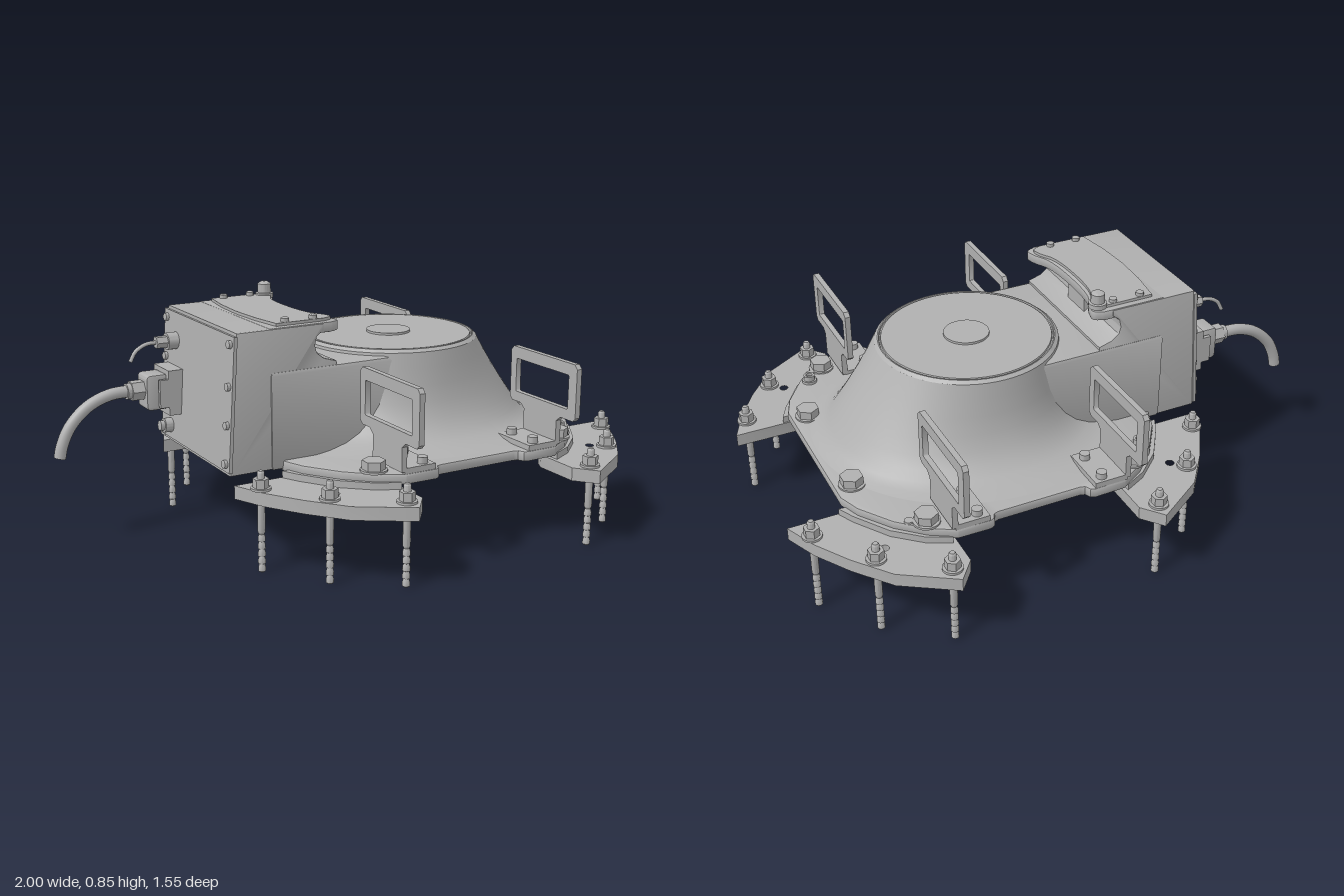
import * as THREE from 'three';
import { toCreasedNormals, mergeVertices } from 'three/addons/utils/BufferGeometryUtils.js';

const metal = new THREE.MeshStandardMaterial({ color: 0xb0b0b0 });
metal.name = 'grey metal';
const CX = 0.225; // axis of the round body
const SIGNS = [-1, 1];
const V2 = (p) => new THREE.Vector2(p[0], p[1]);

export function createModel() {
  const model = new THREE.Group();
  const add = (name, geo, x = 0, y = 0, z = 0, parent = model) => {
    const m = new THREE.Mesh(geo, metal);
    m.name = name;
    m.position.set(x, y, z);
    parent.add(m);
    return m;
  };
  const crease = (g, a = 0.6) => toCreasedNormals(g, a);
  const lathe = (pts, n = 16) => crease(new THREE.LatheGeometry(pts.map(V2), n));
  const extrude = (shape, depth, bevel = 0) => crease(new THREE.ExtrudeGeometry(shape, {
    depth: depth - 2 * bevel, bevelEnabled: bevel > 0, bevelSize: bevel, bevelThickness: bevel,
    bevelOffset: -bevel, bevelSegments: 2, curveSegments: 16,
  }).translate(0, 0, bevel));
  // Plan outline given as [x, z], standing from y0 to y1
  const slab = (pts, y0, y1, bevel = 0, holes = []) => {
    const s = new THREE.Shape(pts.map(([x, z]) => new THREE.Vector2(x, -z)));
    holes.forEach(([x, z, r]) => s.holes.push(new THREE.Path().absarc(x, -z, r, 0, Math.PI * 2, true)));
    return extrude(s, y1 - y0, bevel).rotateX(-Math.PI / 2).translate(0, y0, 0);
  };
  // Rounded rectangle traced on a shape or path
  const roundRect = (s, x0, y0, x1, y1, r) => {
    s.absarc(x1 - r, y0 + r, r, -Math.PI / 2, 0);
    s.absarc(x1 - r, y1 - r, r, 0, Math.PI / 2);
    s.absarc(x0 + r, y1 - r, r, Math.PI / 2, Math.PI);
    s.absarc(x0 + r, y0 + r, r, Math.PI, Math.PI * 1.5);
    s.closePath();
    return s;
  };

  // ---- base flange with cut-outs between the handles
  const quarter = [[0.585, 0.28], [0.555, 0.36], [0.475, 0.475], [0.39, 0.555], [0.305, 0.605],
    [0.19, 0.607], [0.175, 0.6], [0.165, 0.58], [0.15, 0.575]];
  const flange = [];
  [[1, 1], [-1, 1], [-1, -1], [1, -1]].forEach(([sx, sz]) => {
    const q = quarter.map(([u, w]) => [CX + sx * u, sz * w]);
    flange.push(...(sx * sz > 0 ? q : q.reverse()));
  });
  add('baseFlange', slab(flange, 0.3, 0.338, 0.008));

  // ---- flared housing, steep at the sides and sloping towards +x
  const profile = [[0.32, 0.655, 0.32], [0.328, 0.6, 0.355], [0.336, 0.54, 0.395], [0.35, 0.48, 0.437],
    [0.372, 0.43, 0.472], [0.402, 0.39, 0.5], [0.44, 0.363, 0.522], [0.49, 0.346, 0.546], [0.555, 0.335, 0.575]];
  const N = 72, pos = [], idx = [];
  profile.forEach(([rz, y, rx], i) => {
    for (let j = 0; j < N; j++) {
      const a = (j / N) * Math.PI * 2, c = Math.cos(a);
      const r = c > 0 ? rz + (rx - rz) * c * c : rz;
      pos.push(CX + r * c, y, r * Math.sin(a));
      if (i < profile.length - 1) {
        const k = (j + 1) % N, p = i * N + j, q = i * N + k;
        idx.push(p, q, p + N, q, q + N, p + N);
      }
    }
  });
  const skin = new THREE.BufferGeometry();
  skin.setAttribute('position', new THREE.Float32BufferAttribute(pos, 3));
  skin.setIndex(idx);
  skin.computeVertexNormals();
  add('flaredHousing', mergeVertices(skin));
  add('topDisc', lathe([[0.32, 0.655], [0.317, 0.662], [0.308, 0.665], [0.304, 0.665], [0.302, 0.66],
    [0.298, 0.66], [0.296, 0.665], [0.08, 0.665], [0.08, 0.673], [0, 0.673]].reverse().map((p) => p).reverse(), 64), CX)
    .geometry = lathe([[0.321, 0.64], [0.32, 0.655], [0.308, 0.665], [0.304, 0.665], [0.302, 0.66],
      [0.298, 0.66], [0.296, 0.665], [0.08, 0.665], [0.08, 0.673], [0, 0.673]], 64);

  // ---- neck and connection box
  add('neck', slab([[-0.4, -0.28], [0.06, -0.28], [0.2, -0.31], [0.2, 0.31], [0.06, 0.28], [-0.4, 0.28]],
    0.305, 0.645, 0.015));
  const side = new THREE.Shape([[-0.552, 0.31], [-0.15, 0.31], [-0.15, 0.655], [-0.2, 0.67], [-0.225, 0.69],
    [-0.232, 0.715], [-0.225, 0.745], [-0.2, 0.765], [-0.2, 0.788], [-0.522, 0.788]].map(V2));
  add('connectionBox', extrude(side, 0.55, 0.006), 0, 0, -0.275);
  // concave front edge shared by the lid and its cover
  const lobes = (dx, w) => new THREE.CatmullRomCurve3([[-0.17, -1], [-0.135, -0.93], [-0.14, -0.78], [-0.168, -0.55],
    [-0.18, 0], [-0.168, 0.55], [-0.14, 0.78], [-0.135, 0.93], [-0.17, 1]]
    .map(([x, z]) => new THREE.Vector3(x + dx, 0, z * w))).getPoints(40).map((p) => [p.x, p.z]);
  add('lid', slab([[-0.4, -0.272], ...lobes(0, 0.272), [-0.4, 0.272]], 0.755, 0.79, 0.005));
  add('lidCover', slab([[-0.365, -0.25], ...lobes(-0.016, 0.25), [-0.365, 0.25], [-0.383, 0.13],
    [-0.39, 0], [-0.383, -0.13]], 0.785, 0.8));
  add('recessPanel', new THREE.BoxGeometry(0.03, 0.08, 0.12), -0.22, 0.715, 0);
  const screw = lathe([[0.014, 0], [0.014, 0.012], [0.009, 0.015], [0, 0.015]], 12);
  SIGNS.forEach((s) => [-0.325, -0.22].forEach((x) => add('coverScrew', screw, x, 0.8, s * 0.235)));
  add('lidPin', lathe([[0.032, 0.79], [0.032, 0.806], [0.024, 0.808], [0.024, 0.84], [0.012, 0.848], [0, 0.848]], 20),
    -0.165, 0, -0.227);

  // ---- rear panel with its screws
  const panel = new THREE.Group();
  panel.name = 'rearPanel';
  panel.position.set(-0.552, 0.31, 0);
  panel.rotation.z = -Math.atan2(0.03, 0.478);
  model.add(panel);
  add('panelPlate', new THREE.BoxGeometry(0.012, 0.455, 0.56), -0.003, 0.24, 0, panel);
  SIGNS.forEach((s) => [0.04, 0.17, 0.3, 0.44].forEach((y) => {
    add('panelScrew', screw, -0.008, y, s * 0.255, panel).rotation.z = Math.PI / 2;
  }));
  add('lowerSocket', lathe([[0.026, 0], [0.026, 0.03], [0.018, 0.03], [0.018, 0.045], [0, 0.045]]),
    -0.008, 0.06, -0.2, panel).rotation.z = Math.PI / 2;

  // ---- plugs and cables
  const ZC = -0.178;
  const alongX = (name, x, y, len, r, n = 18) =>
    add(name, crease(new THREE.CylinderGeometry(r, r, len, n).rotateZ(Math.PI / 2)), x, y, ZC);
  add('plugBase', new THREE.BoxGeometry(0.06, 0.16, 0.13), -0.567, 0.51, ZC);
  add('plugHood', extrude(roundRect(new THREE.Shape(), -0.67, 0.45, -0.59, 0.575, 0.015), 0.085, 0.006), 0, 0, ZC - 0.042);
  SIGNS.forEach((s) => add('plugLatch', new THREE.BoxGeometry(0.06, 0.1, 0.014), -0.6, 0.51, ZC + s * 0.058));
  alongX('cableGland', -0.69, 0.52, 0.05, 0.036, 6);
  alongX('cableGlandNut', -0.718, 0.52, 0.025, 0.028);
  const cable = (name, pts, r) => {
    const c = new THREE.CatmullRomCurve3(pts.map(([x, y]) => new THREE.Vector3(x, y, ZC)));
    add(name, new THREE.TubeGeometry(c, 32, r, 14));
    const a = c.getPoint(1), t = c.getTangent(1);
    const cap = add('cableEnd', new THREE.CircleGeometry(r, 14), a.x, a.y, a.z);
    cap.quaternion.setFromUnitVectors(new THREE.Vector3(0, 0, 1), t);
  };
  cable('mainCable', [[-0.7, 0.52], [-0.79, 0.516], [-0.87, 0.485], [-0.935, 0.425], [-0.968, 0.36], [-0.978, 0.318]], 0.021);
  alongX('smallSocket', -0.55, 0.68, 0.05, 0.03);
  alongX('smallGland', -0.59, 0.68, 0.05, 0.022, 6);
  cable('smallCable', [[-0.6, 0.68], [-0.65, 0.678], [-0.69, 0.656], [-0.71, 0.622]], 0.007);

  // ---- shared fastener shapes
  const rodProfile = [[0, 0], [0.009, 0]];
  for (let i = 0; i < 5; i++) {
    const y = 0.004 + i * 0.026;
    rodProfile.push([0.013, y], [0.013, y + 0.012], [0.009, y + 0.024]);
  }
  rodProfile.push([0.013, 0.14], [0.013, 0.344], [0.009, 0.35], [0, 0.35]);
  const rod = lathe(rodProfile, 14);
  const hex = (r, h) => crease(new THREE.CylinderGeometry(r, r, h, 6).translate(0, h / 2, 0));
  const washer = (r, h) => crease(new THREE.CylinderGeometry(r, r, h, 24).translate(0, h / 2, 0));
  const nut = hex(0.027, 0.03), nutWasher = washer(0.034, 0.008);
  const bigHead = hex(0.04, 0.03), bigWasher = washer(0.046, 0.008);
  const handleBolt = washer(0.018, 0.022);
  const socketBolt = lathe([[0.027, 0], [0.027, 0.012], [0.02, 0.012], [0.02, 0.03], [0.012, 0.03], [0.012, 0.02], [0, 0.02]], 18);

  // ---- handle plate, drawn in z and y
  const grip = new THREE.Shape();
  [[0.425, 0.345], [0.605, 0.345], [0.605, 0.43], [0.625, 0.447], [0.69, 0.447], [0.703, 0.46], [0.703, 0.63],
    [0.69, 0.645], [0.357, 0.645], [0.343, 0.63], [0.343, 0.46], [0.357, 0.447], [0.405, 0.447], [0.425, 0.43]]
    .forEach(([a, b], i) => (i ? grip.lineTo(a, b) : grip.moveTo(a, b)));
  grip.closePath();
  grip.holes.push(roundRect(new THREE.Path(), 0.375, 0.483, 0.661, 0.603, 0.006));
  const handleGeo = extrude(grip, 0.02).rotateY(-Math.PI / 2).translate(0.01, 0, 0);

  // ---- four corners: foot, anchors, bolts and handle
  const footPlan = [[0.775, 0.295], [0.725, 0.41], [0.645, 0.535], [0.545, 0.66], [0.365, 0.775], [0.305, 0.7],
    [0.305, 0.53], [0.325, 0.49], [0.48, 0.32], [0.52, 0.295]];
  const riserPlan = [[0.6, 0.3], [0.57, 0.36], [0.49, 0.48], [0.4, 0.56], [0.32, 0.6], [0.32, 0.5], [0.49, 0.31]];
  SIGNS.forEach((sx) => SIGNS.forEach((sz) => {
    const at = ([u, w]) => [CX + sx * u, sz * w];
    const put = (name, geo, p, y) => { const [x, z] = at(p); return add(name, geo, x, y, z); };
    add('footPlate', slab(footPlan.map(at), 0.24, 0.286, 0, [[...at([0.527, 0.527]), 0.015]]));
    add('footRiser', slab(riserPlan.map(at), 0.28, 0.31));
    [[0.715, 0.37], [0.57, 0.567], [0.372, 0.713]].forEach((p) => {
      put('anchorRod', rod, p, 0);
      put('anchorWasher', nutWasher, p, 0.286);
      put('anchorNut', nut, p, 0.294);
    });
    [[0.525, 0.228], [0.378, 0.52]].forEach((p) => {
      put('flangeWasher', bigWasher, p, 0.336);
      put('flangeBolt', bigHead, p, 0.344);
    });
    if (sx === sz) put('levellingBolt', socketBolt, [0.447, 0.448], 0.336);
    if (sx > 0) put('locatingPin', washer(0.015, 0.008), [0.43, 0.497], 0.336);

    add('handle', handleGeo, CX + sx * 0.314, 0, 0).rotation.y = sz > 0 ? 0 : Math.PI;
    put('handleFoot', new THREE.BoxGeometry(0.12, 0.02, 0.18), [0.252, 0.515], 0.347);
    [0.46, 0.578].forEach((w) => put('handleBolt', handleBolt, [0.227, w], 0.357));
  }));
  return model;
}
